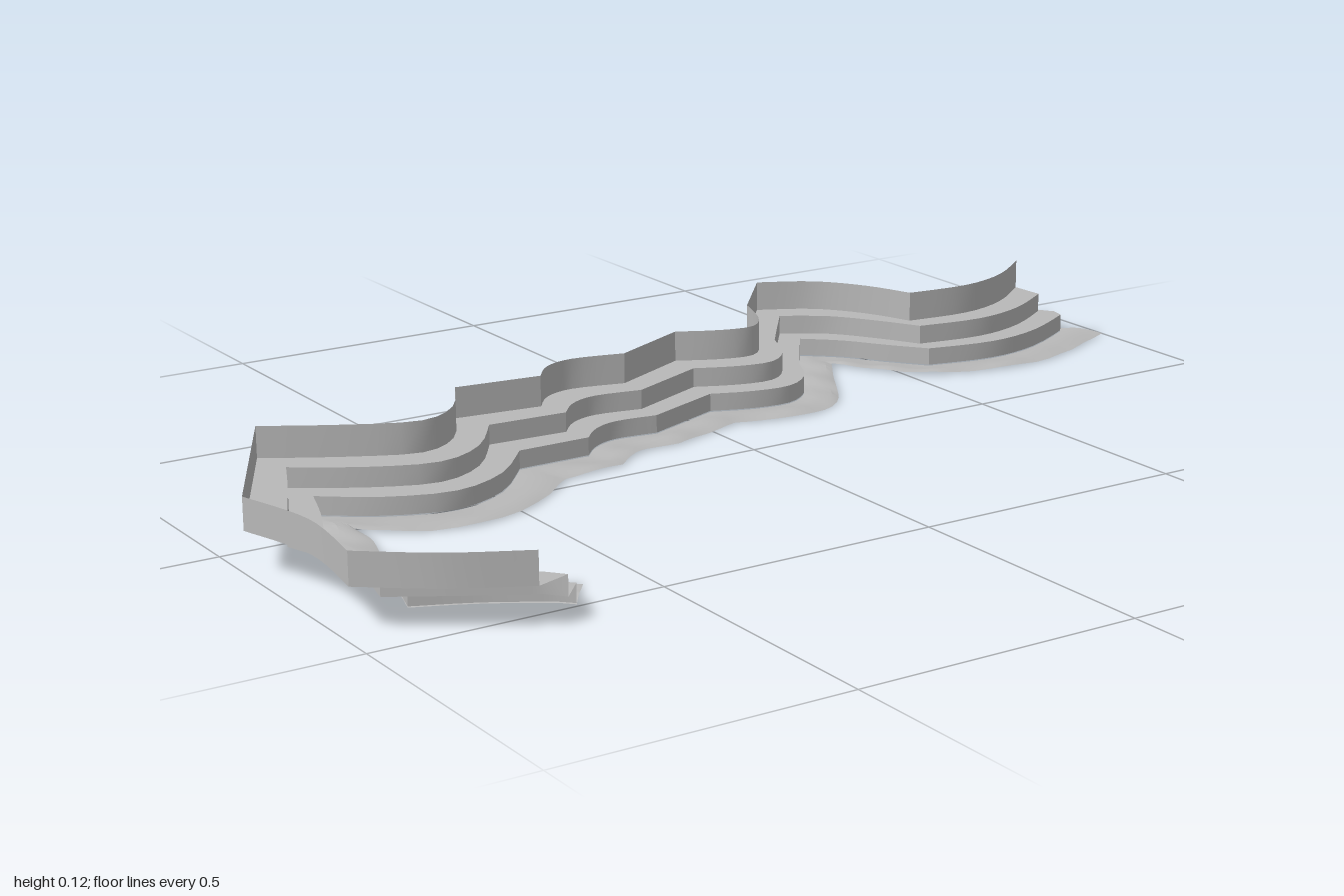
import * as THREE from 'three';
import { toCreasedNormals } from 'three/addons/utils/BufferGeometryUtils.js';

// Plan of the cliff as [x, z] points, one section per stretch between sharp corners.
const sections = [
  { outer: [[-0.75, 0.56], [-0.87, 0.495], [-0.98, 0.41]],
    inner: [[-0.596, 0.423], [-0.69, 0.357], [-0.783, 0.338]] },
  { outer: [[-0.98, 0.41], [-0.963, 0.25], [-1, 0.097]],
    inner: [[-0.783, 0.338], [-0.757, 0.27], [-0.767, 0.2], [-0.789, 0.135]] },
  { outer: [[-1, 0.097], [-0.826, -0.229]],
    inner: [[-0.789, 0.135], [-0.77, 0.07], [-0.767, 0]] },
  { outer: [[-0.826, -0.229], [-0.7, -0.154], [-0.585, -0.106], [-0.505, -0.149], [-0.447, -0.248]],
    inner: [[-0.767, 0], [-0.7, 0.06], [-0.585, 0.09], [-0.46, 0.05], [-0.356, -0.036]] },
  { outer: [[-0.447, -0.248], [-0.29, -0.229]],
    inner: [[-0.356, -0.036], [-0.235, -0.05]] },
  { outer: [[-0.29, -0.229], [-0.25, -0.275], [-0.19, -0.293], [-0.094, -0.272]],
    inner: [[-0.235, -0.05], [-0.2, -0.08], [-0.155, -0.1], [-0.088, -0.1]] },
  { outer: [[-0.094, -0.272], [0.06, -0.346]],
    inner: [[-0.088, -0.1], [0.061, -0.149]] },
  { outer: [[0.06, -0.346], [0.136, -0.309], [0.2, -0.3], [0.243, -0.346], [0.275, -0.432]],
    inner: [[0.061, -0.149], [0.136, -0.127], [0.217, -0.122], [0.286, -0.154], [0.329, -0.213]] },
  { outer: [[0.275, -0.432], [0.388, -0.566]],
    inner: [[0.329, -0.213], [0.377, -0.293], [0.425, -0.368]] },
  { outer: [[0.388, -0.566], [0.484, -0.512], [0.548, -0.427], [0.585, -0.336]],
    inner: [[0.425, -0.368], [0.46, -0.31], [0.5, -0.25], [0.564, -0.2]] },
  { outer: [[0.585, -0.336], [0.714, -0.325], [0.82, -0.357], [0.917, -0.427]],
    inner: [[0.564, -0.2], [0.698, -0.165], [0.83, -0.18], [1, -0.256]] },
];
const STEPS = 12;

// Sample every section, sharing the corner points.
function sampleRail(key) {
  const points = [];
  sections.forEach((section, s) => {
    const curve = new THREE.SplineCurve(section[key].map(([x, z]) => new THREE.Vector2(x, z)));
    for (let i = s ? 1 : 0; i <= STEPS; i++) points.push(curve.getPoint(i / STEPS));
  });
  return points;
}

// Surface between successive rails of Vector3, running from back or top to front or bottom.
function loft(rails) {
  const n = rails[0].length;
  const positions = [], index = [];
  rails.forEach(rail => rail.forEach(p => positions.push(p.x, p.y, p.z)));
  for (let r = 0; r < rails.length - 1; r++) {
    for (let i = 0; i < n - 1; i++) {
      const a = r * n + i, b = a + 1, c = a + n, d = c + 1;
      index.push(a, c, b, b, c, d);
    }
  }
  const geometry = new THREE.BufferGeometry();
  geometry.setAttribute('position', new THREE.Float32BufferAttribute(positions, 3));
  geometry.setIndex(index);
  return toCreasedNormals(geometry, 0.45);
}

export function createModel() {
  const group = new THREE.Group();
  group.name = 'terracedCliff';
  const stone = new THREE.MeshStandardMaterial({ color: 0xb8b8b8, side: THREE.DoubleSide });
  stone.name = 'grey stone';

  const outer = sampleRail('outer');
  const inner = sampleRail('inner');
  const rail = t => outer.map((p, i) => p.clone().lerp(inner[i], t));
  const at = (points, y) => points.map(p => new THREE.Vector3(p.x, y, p.y));
  const add = (name, rails) => {
    const mesh = new THREE.Mesh(loft(rails), stone);
    mesh.name = name;
    group.add(mesh);
  };

  // Plan lines of the three risers, with slightly splayed ends
  const upper = rail(0.31), lower = rail(0.585);
  const last = outer.length - 1;
  upper[0].set(-0.69, 0.54);
  lower[0].set(-0.65, 0.495);
  upper[last].set(0.915, -0.384);
  lower[last].set(0.945, -0.34);

  // Risers and flat treads
  add('topRiser', [at(outer, 0.125), at(outer, 0.07)]);
  add('upperTread', [at(outer, 0.07), at(upper, 0.07)]);
  add('middleRiser', [at(upper, 0.07), at(upper, 0.035)]);
  add('lowerTread', [at(upper, 0.035), at(lower, 0.035)]);
  add('bottomRiser', [at(lower, 0.035), at(lower, 0.003)]);

  // Uneven ground strip at the foot
  const bump = (x, z) => 0.003 + 0.0035 * (1 + Math.sin(x * 37 + z * 13) * Math.cos(z * 53 - x * 9));
  const ROWS = 5;
  const ground = [];
  for (let r = 0; r <= ROWS; r++) {
    const t = r / ROWS;
    ground.push(lower.map((p, i) => {
      const q = p.clone().lerp(inner[i], t);
      const fade = Math.min(1, t * 2.5);
      const y = THREE.MathUtils.lerp(0.003, bump(q.x, q.y), fade);
      return new THREE.Vector3(q.x, t === 1 ? y * 0.6 : y, q.y);
    }));
  }
  // Let the lowest ground rest exactly on y = 0
  const floor = Math.min(...ground.flat().map(p => p.y));
  ground.flat().forEach(p => { p.y -= floor; });
  add('ground', ground);
  return group;
}
